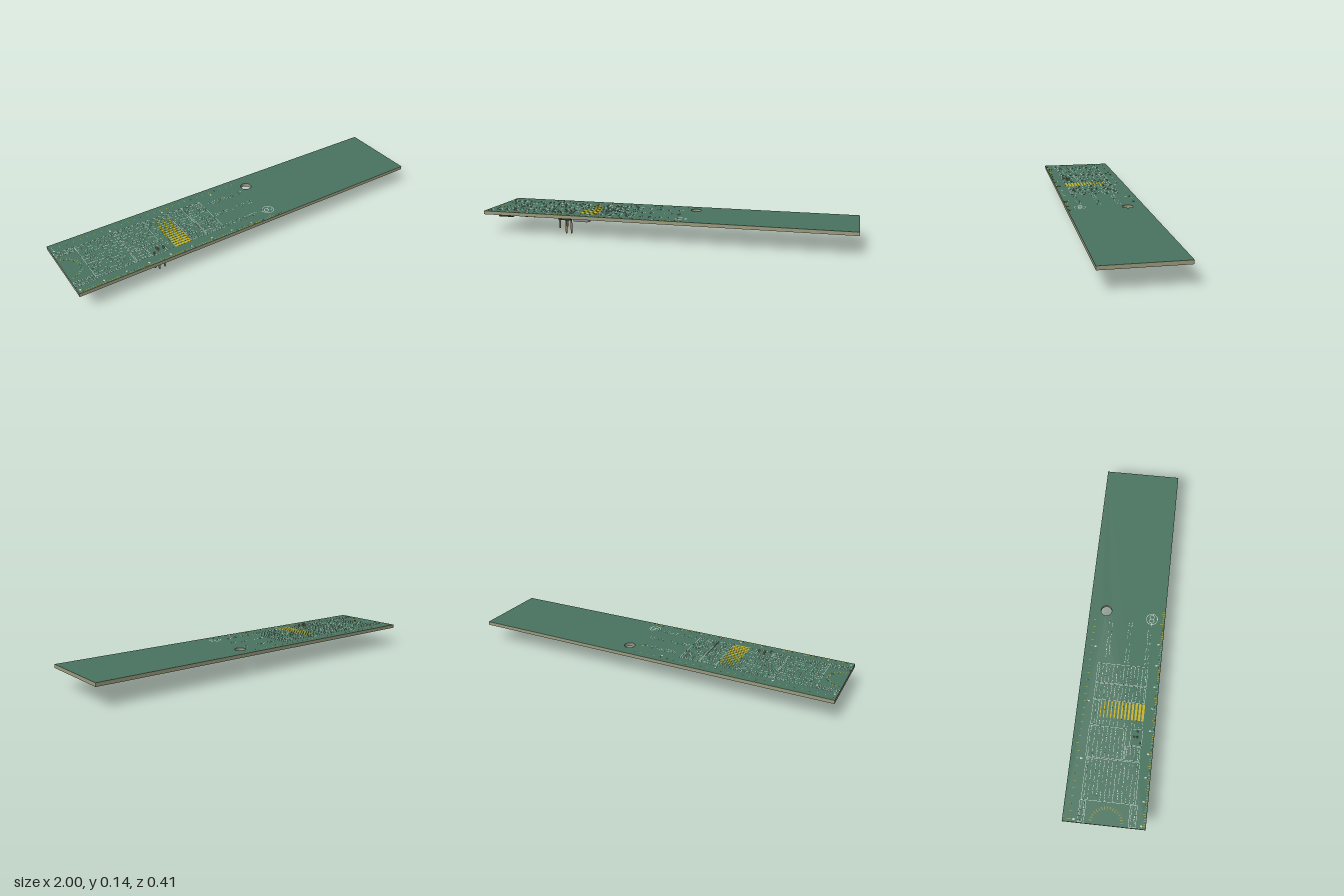
import * as THREE from 'three';
import { mergeGeometries } from 'three/addons/utils/BufferGeometryUtils.js';

const mat = (color) => new THREE.MeshStandardMaterial({ color });
const TOP = 0.12, BOTTOM = 0.101;

export function createModel() {
  const group = new THREE.Group();
  const green = mat(0x4a7460), edge = mat(0x9c9c80), white = mat(0xc4d0c8), gold = mat(0xc9b21c);
  const black = mat(0x2b2d2c), silver = mat(0x8c8e90), tin = mat(0xc8c8c0), brass = mat(0xb09468);

  let seed = 7;
  const rnd = () => (seed = (seed * 16807) % 2147483647) / 2147483647;

  const add = (name, geos, material) => {
    const mesh = new THREE.Mesh(Array.isArray(geos) ? mergeGeometries(geos) : geos, material);
    mesh.name = name;
    group.add(mesh);
    return mesh;
  };
  const box = (x, y, z, w, h, d) => new THREE.BoxGeometry(w, h, d).translate(x, y, z);

  // Board with round hanging hole
  const outline = new THREE.Shape();
  outline.moveTo(-1, -0.206).lineTo(1, -0.206).lineTo(1, 0.206).lineTo(-1, 0.206).closePath();
  const hole = new THREE.Path();
  hole.absarc(0.125, 0.115, 0.029, 0, Math.PI * 2, true);
  outline.holes.push(hole);
  const boardGeo = new THREE.ExtrudeGeometry(outline, { depth: TOP - BOTTOM, bevelEnabled: false, curveSegments: 24 });
  boardGeo.rotateX(-Math.PI / 2).translate(0, BOTTOM, 0);
  add('board', boardGeo, [green, edge]);

  // Flat printed marks on the top (or bottom) face
  const mark = (x, z, w, d, y = TOP) => box(x, y, z, w, 0.001, d);
  const frame = (x0, x1, z0, z1, t = 0.002) => [
    mark((x0 + x1) / 2, z0, x1 - x0, t), mark((x0 + x1) / 2, z1, x1 - x0, t),
    mark(x0, (z0 + z1) / 2, t, z1 - z0), mark(x1, (z0 + z1) / 2, t, z1 - z0)];
  // Rows of short dashes standing for printed table entries
  const dashes = (x0, x1, z0, z1, rows, y = TOP, density = 0.8) => {
    const out = [];
    for (let r = 0; r < rows; r++) {
      const z = z0 + (z1 - z0) * (r + 0.5) / rows;
      for (let x = x0 + 0.004; x < x1 - 0.01;) {
        const w = 0.004 + rnd() * 0.008;
        if (rnd() < density) out.push(mark(x + w / 2, z + (rnd() - 0.5) * 0.004, w, 0.003, y));
        x += w + 0.004;
      }
    }
    return out;
  };
  const ring = (x, z, r, y, a0 = 0, a1 = Math.PI * 2) =>
    new THREE.RingGeometry(r - 0.0015, r + 0.0015, 32, 1, a0, a1 - a0)
      .rotateX(y > 0.11 ? -Math.PI / 2 : Math.PI / 2).translate(x, y > 0.11 ? y + 0.0006 : y - 0.0006, z);

  // Reference tables
  const tables = [
    [-0.887, -0.678, -0.125, 0.145, 13], [-0.672, -0.512, -0.13, 0.06, 9], [-0.672, -0.6, 0.065, 0.14, 4],
    [-0.372, -0.285, -0.125, 0.14, 14], [-0.28, -0.175, -0.125, 0.14, 14],
    [-0.995, -0.89, -0.13, -0.1, 2], [-0.995, -0.89, 0.12, 0.155, 2]];
  const print = [];
  for (const [x0, x1, z0, z1, n] of tables) print.push(...frame(x0, x1, z0, z1), ...dashes(x0, x1, z0, z1, n));
  print.push(...frame(-0.505, -0.377, -0.125, -0.095), ...dashes(-0.505, -0.377, -0.125, -0.095, 1));
  print.push(...frame(-0.595, -0.51, 0.085, 0.145));
  for (const z of [-0.085, 0.02, 0.125]) print.push(...dashes(-0.165, 0.085, z - 0.012, z + 0.018, 2, TOP, 0.55));
  for (let i = 0; i < 13; i++) print.push(...dashes(-0.505, -0.47, -0.085 + i * 0.0183, -0.075 + i * 0.0183, 1));
  print.push(ring(0.1, 0.135, 0.03, TOP), ring(0.09, 0.135, 0.012, TOP), ring(0.112, 0.135, 0.012, TOP));
  for (let i = 0; i < 9; i++) print.push(mark(-0.985 + i * 0.118, 0.182, 0.008, 0.01));
  for (let i = 0; i < 4; i++) print.push(mark(-0.985 + i * 0.3, -0.15, 0.008, 0.012));
  add('printedTables', print, white);

  // Trace width samples, growing thicker down the column
  const samples = [];
  for (let i = 0; i < 13; i++) samples.push(mark(-0.42, -0.082 + i * 0.0183, 0.09, 0.004 + i * 0.0007));
  add('traceSamples', samples, gold);

  // Ruler ticks along both long edges and protractor ticks at the end
  const ticks = [];
  for (let i = 0; i <= 96; i++) {
    const l = i % 10 === 0 ? 0.022 : i % 5 === 0 ? 0.016 : 0.01;
    ticks.push(mark(-0.985 + i * 0.0118, 0.203 - l / 2, 0.002, l));
  }
  for (let i = 0; i <= 28; i++) {
    const l = i % 10 === 0 ? 0.02 : 0.01;
    ticks.push(mark(-0.985 + i * 0.0375, -0.165 - l / 2, 0.002, l));
  }
  for (let i = -8; i <= 8; i++) {
    ticks.push(new THREE.BoxGeometry(0.014, 0.001, 0.002).translate(0.08, 0, 0)
      .rotateY(i * Math.PI / 18).translate(-0.995, TOP, 0.01));
  }
  add('rulerTicks', ticks, gold);

  // Faint print and test pads on the underside
  const under = [ring(0.1, 0.15, 0.03, BOTTOM)];
  for (const z of [-0.13, -0.06, 0.04, 0.15]) under.push(...dashes(-0.34, 0.06, z - 0.01, z + 0.01, 1, BOTTOM, 0.4));
  add('undersidePrint', under, mat(0x6b8a78));
  const pads = [];
  const pad = (x, z, r) => pads.push(new THREE.CylinderGeometry(r, r, 0.002, 20).translate(x, BOTTOM, z));
  for (let i = 0; i < 4; i++) {
    pad(0.04 - i * 0.055, 0.095, 0.018);
    pad(0.05 - i * 0.046, -0.015, 0.007);
  }
  add('testPads', pads, tin);

  // Chips on the underside: x, z, width, depth, height, legs per side, legs on all four sides
  const chips = [
    [-0.90, 0.105, 0.085, 0.085, 0.018, 9, true], [-0.77, 0.075, 0.06, 0.06, 0.022, 5, false],
    [-0.635, 0.02, 0.065, 0.085, 0.024, 7, false], [-0.65, -0.085, 0.06, 0.055, 0.017, 4, false],
    [-0.55, -0.08, 0.05, 0.055, 0.017, 4, false], [-0.775, -0.07, 0.06, 0.055, 0.017, 4, false],
    [-0.895, -0.09, 0.035, 0.03, 0.013, 3, false]];
  const bodies = [], legs = [];
  for (const [x, z, w, d, h, n, quad] of chips) {
    bodies.push(box(x, BOTTOM - 0.002 - h / 2, z, w, h, d));
    for (let i = 0; i < n; i++) {
      const t = (i + 0.5) / n - 0.5;
      for (const s of [-1, 1]) {
        legs.push(box(x + s * (w / 2 + 0.003), BOTTOM - 0.007, z + t * d, 0.006, 0.003, 0.005));
        legs.push(box(x + s * (w / 2 + 0.006), BOTTOM - 0.003, z + t * d, 0.003, 0.008, 0.005));
        if (!quad) continue;
        legs.push(box(x + t * w, BOTTOM - 0.007, z + s * (d / 2 + 0.003), 0.005, 0.003, 0.006));
        legs.push(box(x + t * w, BOTTOM - 0.003, z + s * (d / 2 + 0.006), 0.005, 0.008, 0.003));
      }
    }
  }
  add('chipBodies', bodies, black);
  add('chipLegs', legs, silver);

  // Small surface-mount parts between the chips
  const small = [], ends = [];
  for (const [x, z] of [[-0.97, -0.05], [-0.95, 0.02], [-0.85, -0.02], [-0.83, -0.1], [-0.72, 0.0],
    [-0.71, -0.09], [-0.70, 0.1], [-0.6, 0.09], [-0.55, -0.02], [-0.97, -0.1]]) {
    small.push(box(x, BOTTOM - 0.005, z, 0.014, 0.01, 0.014));
    for (const s of [-1, 1]) ends.push(box(x + s * 0.009, BOTTOM - 0.005, z, 0.005, 0.011, 0.015));
  }
  add('smallParts', small, black);
  add('smallPartEnds', ends, tin);

  // Metal cans with rounded ends on a wider flange
  const can = (x, z, len, wid, h, y) => {
    const r = wid / 2, a = len / 2 - r, s = new THREE.Shape();
    s.absarc(a, 0, r, -Math.PI / 2, Math.PI / 2, false);
    s.absarc(-a, 0, r, Math.PI / 2, Math.PI * 1.5, false);
    return new THREE.ExtrudeGeometry(s, { depth: h, bevelEnabled: false, curveSegments: 10 })
      .rotateX(-Math.PI / 2).translate(x, y, z);
  };
  add('crystalCan', [can(-0.49, 0.042, 0.1, 0.042, 0.045, 0.056), can(-0.49, 0.042, 0.11, 0.055, 0.012, 0.089)], silver);
  add('roundedCan', [can(-0.36, 0.045, 0.06, 0.05, 0.011, 0.09)], tin);

  // Header: plastic base and pins passing through the board
  add('headerBase', box(-0.55, BOTTOM - 0.011, 0.12, 0.07, 0.022, 0.045), black);
  const pins = [];
  for (const [x, z, lo, hi] of [[-0.58, 0.137, 0.032, 0.133], [-0.55, 0.12, 0, 0.136],
    [-0.52, 0.12, 0.003, 0.136], [-0.55, 0.104, 0.035, 0.128]]) {
    pins.push(box(x, (lo + hi) / 2, z, 0.007, hi - lo - 0.008, 0.007));
    for (const [y, flip] of [[hi - 0.002, 1], [lo + 0.002, -1]]) {
      pins.push(new THREE.CylinderGeometry(flip > 0 ? 0.003 : 0.005, flip > 0 ? 0.005 : 0.003, 0.004, 4)
        .rotateY(Math.PI / 4).translate(x, y, z));
    }
  }
  add('headerPins', pins, brass);

  return group;
}
